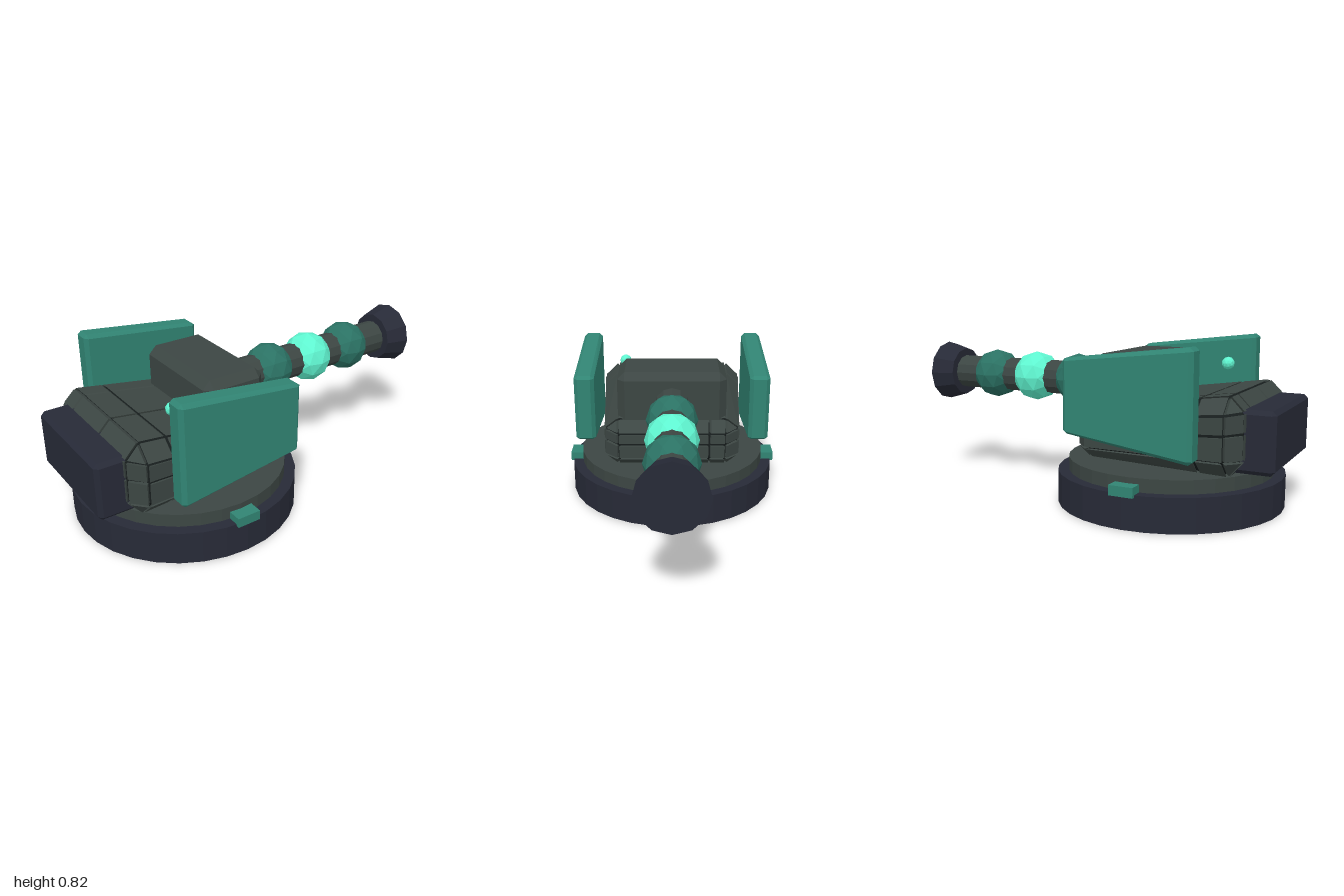
import * as THREE from 'three';
import { ConvexGeometry } from 'three/addons/geometries/ConvexGeometry.js';
import { mergeGeometries } from 'three/addons/utils/BufferGeometryUtils.js';

const mat = (color) => new THREE.MeshStandardMaterial({ color, flatShading: true });
const V = (a) => new THREE.Vector3(...a);
const same = (p) => p;

// Box with flat chamfers of width c; warp then tapers its corner points.
function chamferBox(lo, hi, c, warp = same) {
  const pts = [];
  for (let i = 0; i < 8; i++) {
    const high = [i & 1, i & 2, i & 4];
    for (let axis = 0; axis < 3; axis++) {
      pts.push(V(warp(high.map((h, k) => {
        const inset = k === axis ? 0 : c;
        return h ? hi[k] - inset : lo[k] + inset;
      }))));
    }
  }
  return new ConvexGeometry(pts);
}

// Hull narrows and drops toward the back.
function hullWarp([x, y, z]) {
  const t = (0.87 - z) / 0.85;
  return [x * (1 - 0.13 * t), y + t * (0.37 + (y - 0.42) * 0.65 - y), z];
}

// One armour panel: a polygon pulled in from the seams, with thickness toward the hull centre.
function panel(corners) {
  const gap = 0.007, centre = new THREE.Vector3(0, 0.4, 0.45);
  const p = corners.map((c) => V(hullWarp(c)));
  const pts = [];
  p.forEach((v, i) => {
    const n = p.length;
    const q = v.clone();
    for (const o of [p[(i + 1) % n], p[(i + n - 1) % n]]) {
      q.addScaledVector(o.clone().sub(v).normalize(), gap);
    }
    pts.push(q, q.clone().lerp(centre, 0.07));
  });
  return new ConvexGeometry(pts);
}

// Panels over all faces, chamfer strips and corners of the hull.
function hullPanels() {
  const inner = [[-0.33, -0.23, 0.06, 0.33], [0.31, 0.435, 0.53], [0.09, 0.66, 0.8]];
  const outer = [[-0.41, 0.41], [0.23, 0.61], [0.02, 0.87]];
  const list = [];
  const at = (a, va, b, vb, c, vc) => {
    const r = [];
    r[a] = va; r[b] = vb; r[c] = vc;
    return r;
  };
  const edge = (axis, s) => (s ? inner[axis].at(-1) : inner[axis][0]);
  for (let a = 0; a < 3; a++) {
    const b = (a + 1) % 3, c = (a + 2) % 3;
    // flat faces
    for (const va of outer[a]) {
      for (let i = 0; i + 1 < inner[b].length; i++) {
        for (let j = 0; j + 1 < inner[c].length; j++) {
          const [b0, b1] = [inner[b][i], inner[b][i + 1]];
          const [c0, c1] = [inner[c][j], inner[c][j + 1]];
          list.push(panel([[b0, c0], [b1, c0], [b1, c1], [b0, c1]]
            .map(([vb, vc]) => at(a, va, b, vb, c, vc))));
        }
      }
    }
    // chamfer strips running along axis a
    for (let k = 0; k < 4; k++) {
      const sb = k & 1, sc = k >> 1;
      for (let i = 0; i + 1 < inner[a].length; i++) {
        const [a0, a1] = [inner[a][i], inner[a][i + 1]];
        const onB = (v) => at(a, v, b, outer[b][sb], c, edge(c, sc));
        const onC = (v) => at(a, v, b, edge(b, sb), c, outer[c][sc]);
        list.push(panel([onB(a0), onB(a1), onC(a1), onC(a0)]));
      }
    }
  }
  // corner triangles
  for (let k = 0; k < 8; k++) {
    const s = [k & 1, (k >> 1) & 1, k >> 2];
    list.push(panel([0, 1, 2].map((a) =>
      s.map((h, i) => (i === a ? outer[i][h] : edge(i, h))))));
  }
  return mergeGeometries(list);
}

export function createModel() {
  const group = new THREE.Group();
  const navy = mat(0x272a37), metal = mat(0x3c4643), seam = mat(0x171d1d);
  const teal = mat(0x318473), darkTeal = mat(0x2b7264), glow = mat(0x5ff5d0);
  const add = (name, geometry, material, x = 0, y = 0, z = 0) => {
    const m = new THREE.Mesh(geometry, material);
    m.name = name;
    m.position.set(x, y, z);
    group.add(m);
    return m;
  };

  // Round base and turntable
  add('base', new THREE.CylinderGeometry(0.57, 0.57, 0.165, 32), navy, 0, 0.0825, 0.39);
  add('turntable', new THREE.CylinderGeometry(0.515, 0.515, 0.075, 32), metal, 0, 0.1925, 0.39);

  // Panelled hull over a dark core that shows in the seams
  add('hullCore', chamferBox([-0.4, 0.24, 0.03], [0.4, 0.6, 0.86], 0.08, hullWarp), seam);
  add('hullPanels', hullPanels(), metal);

  // Front block and raised housing
  add('frontBlock', chamferBox([-0.31, 0.25, 0.78], [0.31, 0.54, 1], 0.02), navy);
  add('upperHousing', chamferBox([-0.29, 0.42, 0.09], [0.29, 0.75, 0.42], 0.04), metal);

  // Side shields, taller at the front, and base tabs
  const shieldWarp = ([x, y, z]) => {
    const t = (0.69 - z) / 0.64;
    return [x, y + t * (0.5725 + (y - 0.565) * 0.676 - y), z];
  };
  for (const [side, s] of [['left', 1], ['right', -1]]) {
    const lo = s > 0 ? 0.405 : -0.51;
    add(side + 'Shield',
      chamferBox([lo, 0.305, 0.05], [lo + 0.105, 0.82, 0.69], 0.019, shieldWarp), teal);
    add(side + 'Tab', new THREE.BoxGeometry(0.1, 0.048, 0.12), teal, s * 0.53, 0.178, 0.39);
  }

  // Barrel with faceted energy beads and a flared end
  const barrelY = 0.585;
  add('barrel', new THREE.CylinderGeometry(0.09, 0.09, 1.12, 12).rotateX(-Math.PI / 2),
    metal, 0, barrelY, -0.34);
  [-0.14, -0.4, -0.66].forEach((z, i) =>
    add('barrelBead', new THREE.IcosahedronGeometry(0.132, 1), i === 1 ? glow : darkTeal, 0, barrelY, z));
  add('muzzle', new THREE.CylinderGeometry(0.163, 0.13, 0.12, 12).rotateX(-Math.PI / 2),
    navy, 0, barrelY, -0.94);

  // Small floating sensor light
  add('sensorLight', new THREE.IcosahedronGeometry(0.033, 1), glow, 0.268, 0.677, 0.59);
  return group;
}
